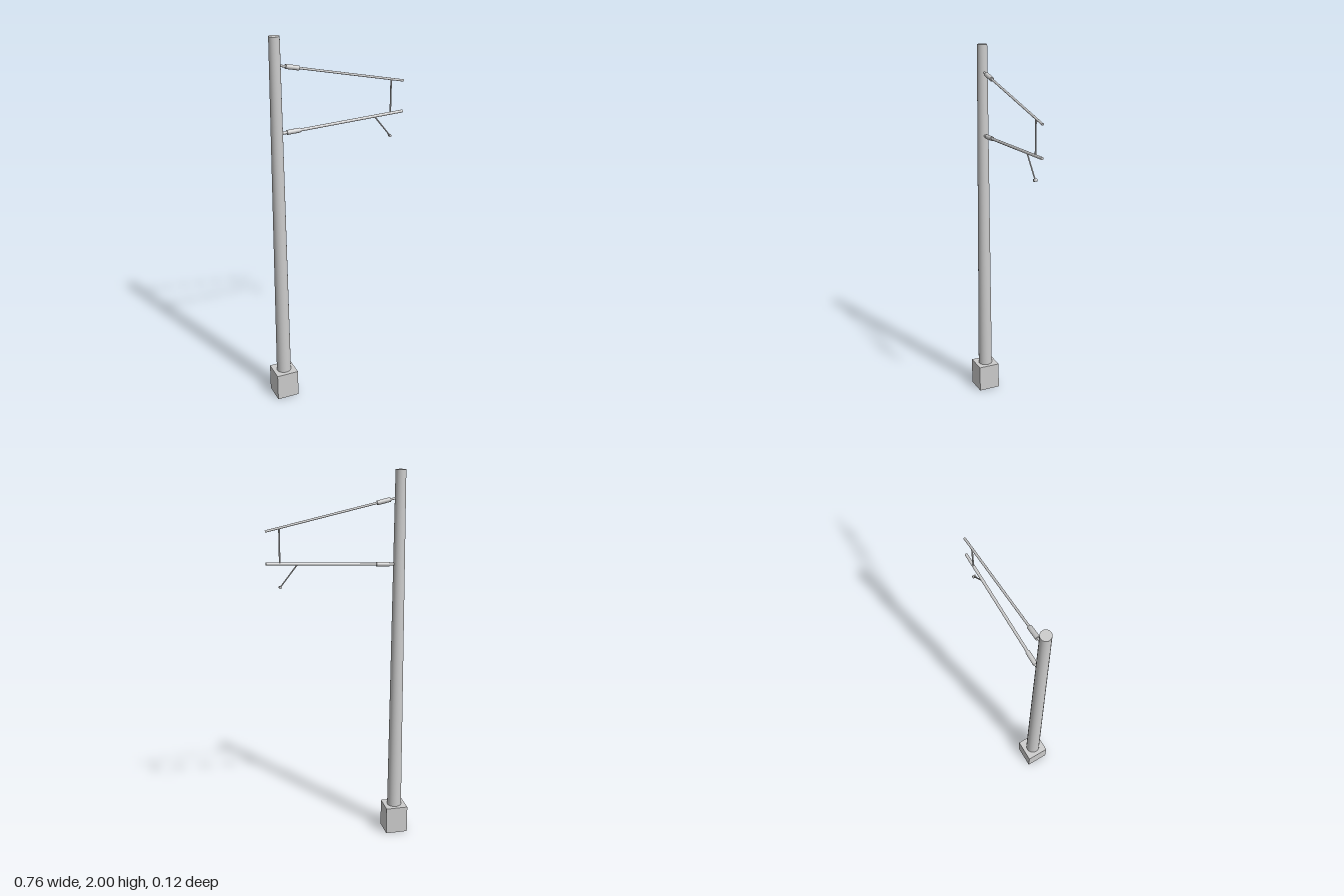
import * as THREE from 'three';

const material = new THREE.MeshStandardMaterial({ color: 0xcccccc });

// Cylinder running between two points in the z = 0 plane
function rod(name, a, b, radius, sides = 16) {
  const start = new THREE.Vector3(a[0], a[1], 0);
  const end = new THREE.Vector3(b[0], b[1], 0);
  const dir = end.clone().sub(start);
  const mesh = new THREE.Mesh(new THREE.CylinderGeometry(radius, radius, dir.length(), sides), material);
  mesh.name = name;
  mesh.position.copy(start).add(end).multiplyScalar(0.5);
  mesh.quaternion.setFromUnitVectors(new THREE.Vector3(0, 1, 0), dir.normalize());
  return mesh;
}

// Cantilever tube with an insulator sleeve near the mast
function arm(name, a, b, radius) {
  const group = new THREE.Group();
  group.name = name;
  const at = (x) => [x, a[1] + ((x - a[0]) / (b[0] - a[0])) * (b[1] - a[1])];
  group.add(
    rod(name + 'Tube', a, b, radius),
    rod(name + 'Insulator', at(-0.267), at(-0.198), 0.012)
  );
  return group;
}

export function createModel() {
  const model = new THREE.Group();
  model.name = 'catenaryMast';
  const mastX = -0.32;

  // Square foundation block
  const base = new THREE.Mesh(new THREE.BoxGeometry(0.12, 0.15, 0.12), material);
  base.name = 'foundation';
  base.position.set(mastX, 0.075, 0);

  // Tapered round mast
  const mast = new THREE.Mesh(new THREE.CylinderGeometry(0.027, 0.039, 1.85, 24), material);
  mast.name = 'mast';
  mast.position.set(mastX, 1.075, 0);
  model.add(base, mast);

  // Sloping top tie and lower bracket tube
  model.add(
    arm('topArm', [-0.296, 1.857], [0.375, 1.71], 0.006),
    arm('lowerArm', [-0.296, 1.519], [0.375, 1.548], 0.0075)
  );

  // Vertical dropper and slanted steady arm
  model.add(
    rod('dropper', [0.305, 1.546], [0.305, 1.724], 0.004, 12),
    rod('steadyArm', [0.213, 1.541], [0.305, 1.425], 0.0035, 12)
  );

  // Contact wire clamp, axis along z
  const clamp = new THREE.Mesh(new THREE.CylinderGeometry(0.007, 0.007, 0.018, 12), material);
  clamp.name = 'wireClamp';
  clamp.rotation.x = Math.PI / 2;
  clamp.position.set(0.305, 1.425, 0);
  model.add(clamp);

  return model;
}
